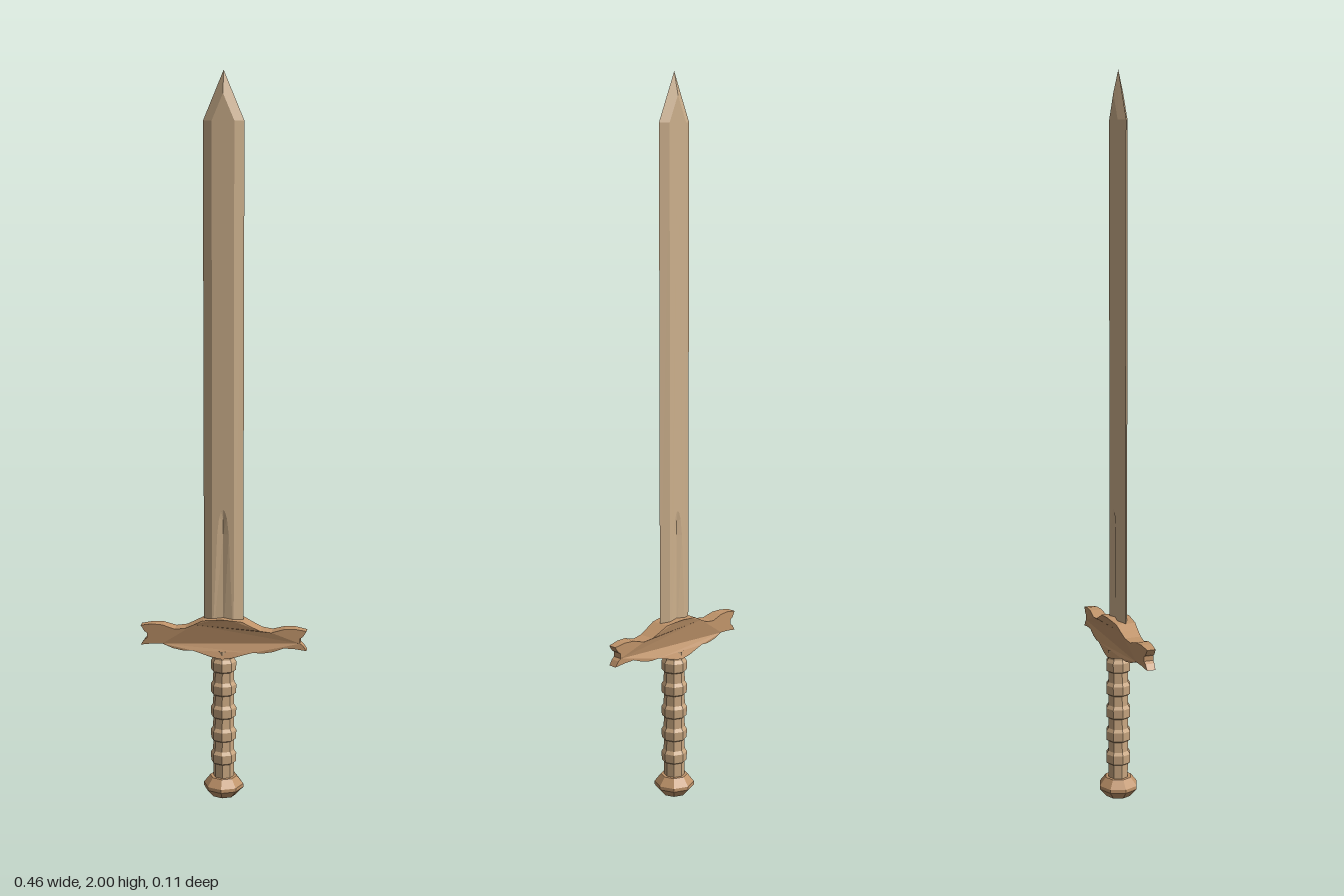
import * as THREE from 'three';

const material = (color) => new THREE.MeshStandardMaterial({ color, flatShading: true });

function mesh(name, geometry, mat) {
  const m = new THREE.Mesh(geometry, mat);
  m.name = name;
  return m;
}

// Unindexed surface from quads and triangles, corners counter-clockwise
function faces(list) {
  const pos = [];
  for (const f of list) {
    for (let i = 1; i < f.length - 1; i++) pos.push(...f[0], ...f[i], ...f[i + 1]);
  }
  const g = new THREE.BufferGeometry();
  g.setAttribute('position', new THREE.Float32BufferAttribute(pos, 3));
  g.computeVertexNormals();
  return g;
}

// One half of the blade: flat face, bevelled edges and a shallow tapering groove
function bladeSide(mat) {
  const side = new THREE.Group();
  const W = 0.055, F = 0.03, Z = 0.014, base = 0.45, shoulder = 1.87;
  const groove = [[-0.029, base], [-0.016, 0.76], [-0.011, 0.805], [-0.005, 0.825], [0, 0.83],
    [0.005, 0.825], [0.011, 0.805], [0.016, 0.76], [0.029, base]];

  const outline = [[F, base], [F, shoulder], [0, 1.94], [-F, shoulder], [-F, base], ...groove];
  const flat = new THREE.ShapeGeometry(new THREE.Shape(outline.map((p) => new THREE.Vector2(...p))));
  side.add(mesh('bladeFace', flat.translate(0, 0, Z), mat));

  const tip = [0, 2, 0], ridge = [0, 1.94, Z];
  side.add(mesh('bladeBevels', faces([
    [[F, base, Z], [W, base, 0], [W, shoulder, 0], [F, shoulder, Z]],
    [[F, shoulder, Z], [W, shoulder, 0], tip, ridge],
    [[-W, base, 0], [-F, base, Z], [-F, shoulder, Z], [-W, shoulder, 0]],
    [[-W, shoulder, 0], [-F, shoulder, Z], ridge, tip],
  ]), mat));

  const floor = ([, y]) => [0, Math.min(y, 0.8), 0.009];
  const strips = [];
  for (let i = 0; i < groove.length - 1; i++) {
    const a = groove[i], b = groove[i + 1];
    strips.push([[...a, Z], floor(a), floor(b), [...b, Z]]);
  }
  side.add(mesh('bladeGroove', faces(strips), mat));
  return side;
}

// Wavy crossguard, thinner towards its notched ends
function guardGeometry() {
  const half = [[0, 0.41], [0.03, 0.414], [0.06, 0.423], [0.085, 0.43], [0.11, 0.428], [0.14, 0.433],
    [0.17, 0.444], [0.2, 0.442], [0.232, 0.437], [0.222, 0.452], [0.214, 0.458], [0.214, 0.472],
    [0.222, 0.477], [0.232, 0.493], [0.2, 0.499], [0.17, 0.498], [0.135, 0.488], [0.105, 0.492],
    [0.08, 0.504], [0.055, 0.517], [0.03, 0.52], [0, 0.523]];
  const left = half.slice(1, -1).reverse().map(([x, y]) => [-x, y]);
  const shape = new THREE.Shape([...half, ...left].map((p) => new THREE.Vector2(...p)));
  const g = new THREE.ExtrudeGeometry(shape, { depth: 2, bevelEnabled: false }).translate(0, 0, -1);
  const p = g.attributes.position;
  for (let i = 0; i < p.count; i++) {
    const depth = THREE.MathUtils.lerp(0.033, 0.012, Math.abs(p.getX(i)) / 0.232);
    p.setZ(i, Math.sign(p.getZ(i)) * depth);
  }
  g.computeVertexNormals();
  return g;
}

const lathe = (profile, sides) =>
  new THREE.LatheGeometry(profile.map((p) => new THREE.Vector2(...p)), sides);

export function createModel() {
  const sword = new THREE.Group();
  sword.name = 'sword';
  const steel = material(0xcdb08c), wood = material(0xc0946a), wrap = material(0xc8a680);

  // Blade, two matching sides
  const blade = new THREE.Group();
  blade.name = 'blade';
  for (const turn of [0, Math.PI]) {
    const side = bladeSide(steel);
    side.rotation.y = turn;
    blade.add(side);
  }
  sword.add(blade);

  sword.add(mesh('crossguard', guardGeometry(), wood));

  // Grip with five raised bands
  const profile = [[0.029, 0.05]];
  for (let i = 0; i < 5; i++) {
    const y = 0.118 + i * 0.067;
    profile.push([0.029, y - 0.019], [0.035, y - 0.015], [0.036, y + 0.01], [0.03, y + 0.019]);
  }
  profile.push([0.03, 0.43]);
  sword.add(mesh('grip', lathe(profile, 8), wrap));

  // Eight-sided pommel
  sword.add(mesh('pommel', lathe([[0, 0], [0.035, 0.004], [0.056, 0.027], [0.056, 0.037],
    [0.038, 0.06], [0, 0.06]], 8), wood));

  return sword;
}
